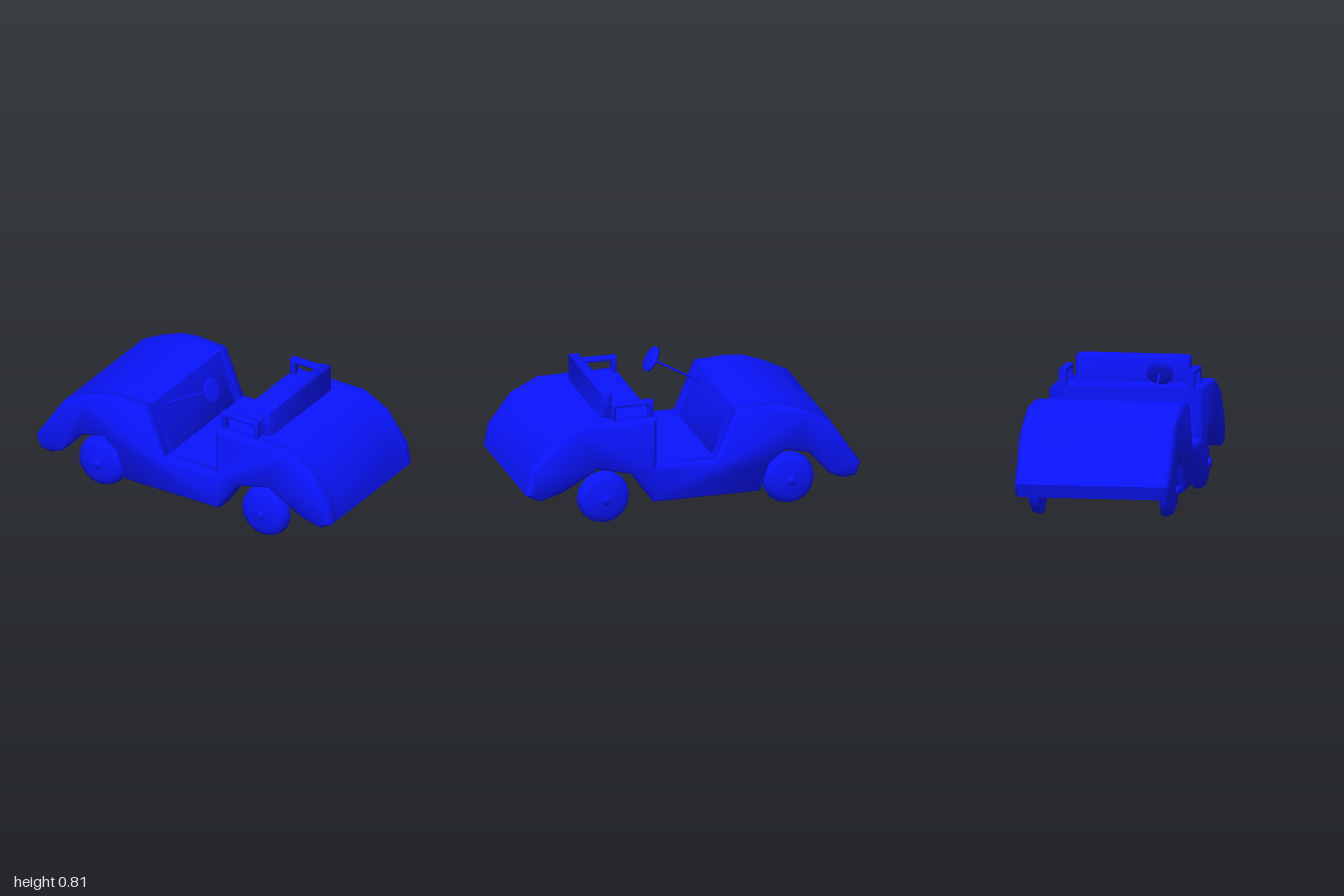
import * as THREE from 'three';
import { toCreasedNormals } from 'three/addons/utils/BufferGeometryUtils.js';

const material = new THREE.MeshStandardMaterial({ color: 0x0a14ff, side: THREE.DoubleSide });

function add(parent, name, geometry, x = 0, y = 0, z = 0) {
  const mesh = new THREE.Mesh(geometry, material);
  mesh.name = name;
  mesh.position.set(x, y, z);
  parent.add(mesh);
  return mesh;
}

// Side profile in x/y extruded from z0 to z1, with an optional one-step chamfer
function slab(points, z0, z1, bevel = 0) {
  const shape = new THREE.Shape(points.map(([x, y]) => new THREE.Vector2(x, y)));
  const geometry = new THREE.ExtrudeGeometry(shape, {
    depth: z1 - z0 - 2 * bevel, bevelEnabled: bevel > 0, bevelSegments: 1,
    bevelSize: bevel, bevelThickness: bevel, bevelOffset: -bevel,
  });
  geometry.translate(0, 0, z0 + bevel);
  return toCreasedNormals(geometry, 0.85);
}

// Outer lines shared by the side panels and the shells between them
const hoodLine = [[-0.90, 0.142], [-0.975, 0.152], [-1, 0.23], [-0.82, 0.50], [-0.68, 0.572],
  [-0.55, 0.62], [-0.45, 0.63], [-0.26, 0.62], [-0.14, 0.33]];
const rearLine = [[0.22, 0.335], [0.22, 0.625], [0.68, 0.62], [0.84, 0.54], [0.975, 0.36],
  [0.998, 0.23], [0.925, 0.192]];
const underLine = [[0.79, 0.225], [0.57, 0.35], [0.37, 0.30], [0.24, 0.115], [-0.40, 0.115],
  [-0.455, 0.28], [-0.55, 0.35], [-0.69, 0.32], [-0.82, 0.175]];
const panelLine = [...hoodLine, ...rearLine, ...underLine];

// Inner lines that make the hood and rear deck hollow underneath
const hoodInside = [[-0.15, 0.305], [-0.175, 0.305], [-0.28, 0.59], [-0.45, 0.60], [-0.55, 0.59],
  [-0.66, 0.545], [-0.79, 0.47], [-0.94, 0.25], [-0.86, 0.175]];
const rearInside = [[0.85, 0.21], [0.955, 0.25], [0.94, 0.35], [0.82, 0.515], [0.67, 0.59],
  [0.245, 0.595], [0.245, 0.305], [0.22, 0.305]];

export function createModel() {
  const cart = new THREE.Group();
  cart.name = 'openCart';

  // Hollow body between the side panels
  add(cart, 'hoodAndDashboard', slab([...hoodLine, ...hoodInside], -0.335, 0.335));
  add(cart, 'rearDeckAndSeatFront', slab([...rearLine, ...rearInside], -0.335, 0.335));
  add(cart, 'floor', new THREE.BoxGeometry(0.38, 0.02, 0.67), 0.04, 0.318, 0);

  // Seat back with softened upper edges
  add(cart, 'seatBack', slab([[0.455, 0.61], [0.455, 0.765], [0.465, 0.78], [0.525, 0.78],
    [0.525, 0.61]], -0.333, 0.333, 0.014));

  // Wheel cross-section: tyre, domed cover and hub cap
  const wheelProfile = [[0, 0], [0.155, 0], [0.155, 0.02], [0.142, 0.055], [0.105, 0.07],
    [0.028, 0.078], [0.028, 0.088], [0.018, 0.097], [0, 0.1]].map(([r, h]) => new THREE.Vector2(r, h));
  const wheel = toCreasedNormals(new THREE.LatheGeometry(wheelProfile, 16).rotateX(Math.PI / 2), 0.9);

  for (const side of [1, -1]) {
    const label = side > 0 ? 'front' : 'back';

    // Side panel: square inner edge, chamfered outer edge
    const panel = new THREE.Group();
    panel.name = label + 'SidePanel';
    const [inner, outer] = side > 0 ? [0.33, 0.35] : [-0.37, -0.45];
    add(panel, 'panelInside', slab(panelLine, inner, inner + 0.04));
    add(panel, 'panelOutside', slab(panelLine, outer, outer + 0.10, 0.02));
    cart.add(panel);

    // Armrest frame
    const frame = slab([[0.225, 0.60], [0.225, 0.723], [0.475, 0.723], [0.475, 0.60], [0.45, 0.60],
      [0.45, 0.697], [0.255, 0.697], [0.255, 0.60]], -0.025, 0.025, 0.007);
    add(cart, label + 'Armrest', frame, 0, 0, side * 0.372);

    for (const [end, x] of [['Hood', -0.587], ['Rear', 0.52]]) {
      const mesh = add(cart, label + end + 'Wheel', wheel, x, 0.155, side * 0.35);
      if (side < 0) mesh.rotation.y = Math.PI;
    }
  }

  // Steering column and domed steering disc
  const steering = new THREE.Group();
  steering.name = 'steering';
  steering.position.set(0.055, 0.733, 0.222);
  steering.rotation.z = -Math.PI / 3;
  add(steering, 'steeringColumn', new THREE.CylinderGeometry(0.007, 0.007, 0.36, 8), 0, -0.18, 0);
  const disc = [[0, -0.008], [0.05, -0.008], [0.078, -0.004], [0.078, 0.01], [0.05, 0.014], [0, 0.014]];
  add(steering, 'steeringWheel', new THREE.LatheGeometry(disc.map(([r, h]) => new THREE.Vector2(r, h)), 12));
  cart.add(steering);

  return cart;
}
